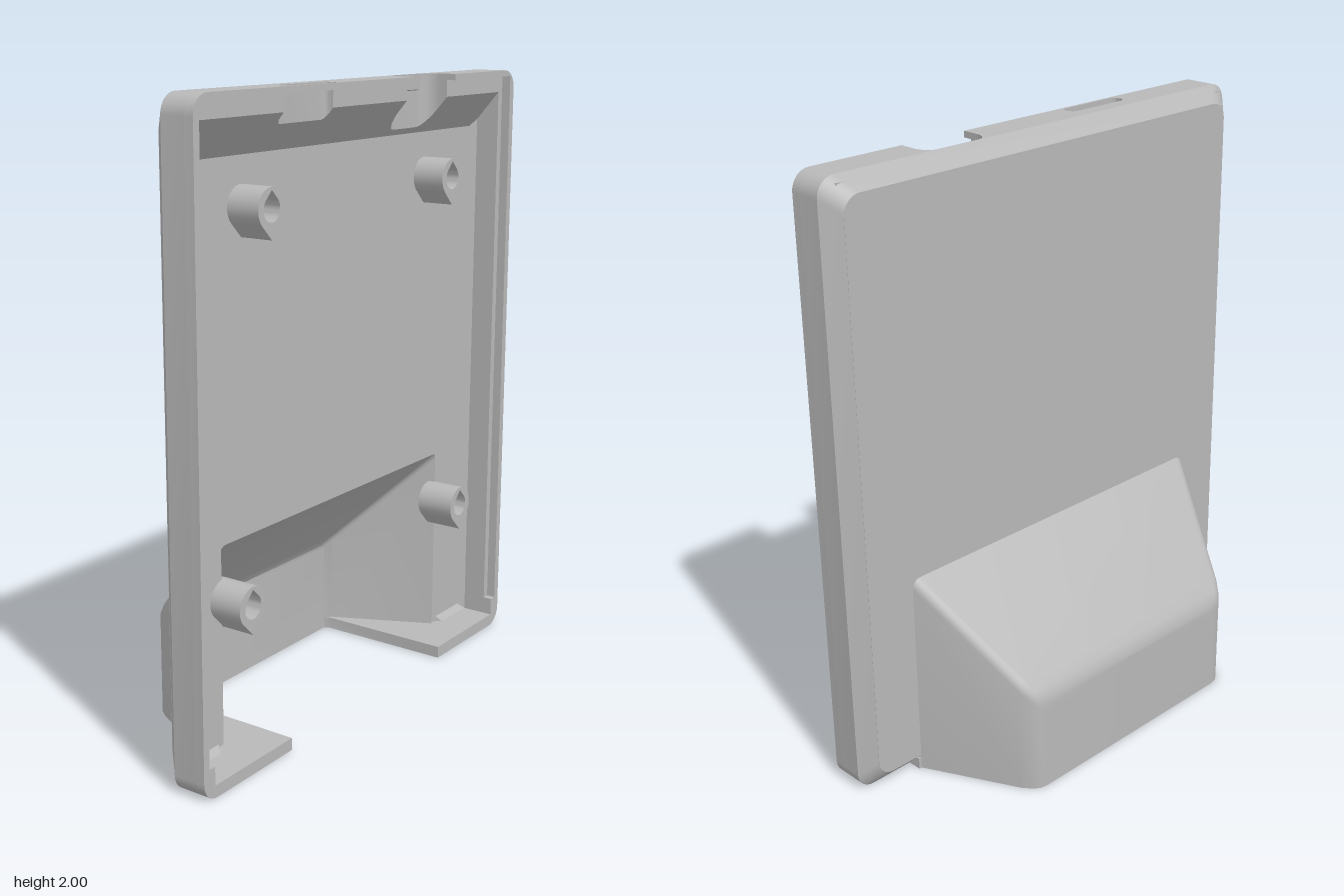
import * as THREE from 'three';
import { toCreasedNormals } from 'three/addons/utils/BufferGeometryUtils.js';

const grey = new THREE.MeshStandardMaterial({ color: 0xb8b8b8 });
grey.name = 'grey plastic';

const shapeOf = (pts) => new THREE.Shape(pts.map(([x, y]) => new THREE.Vector2(x, y)));

// Points on an arc, angles in degrees
function arc(cx, cy, r, a0, a1, n = 8) {
  return Array.from({ length: n + 1 }, (_, i) => {
    const a = THREE.MathUtils.degToRad(a0 + ((a1 - a0) * i) / n);
    return [cx + r * Math.cos(a), cy + r * Math.sin(a)];
  });
}

function roundRect(x0, y0, x1, y1, r) {
  return [
    ...arc(x1 - r, y1 - r, r, 90, 0), ...arc(x1 - r, y0 + r, r, 0, -90),
    ...arc(x0 + r, y0 + r, r, -90, -180), ...arc(x0 + r, y1 - r, r, 180, 90),
  ];
}

// Extrude an xy shape between two z levels
function slabZ(shape, z0, z1) {
  return new THREE.ExtrudeGeometry(shape, { depth: z1 - z0, bevelEnabled: false }).translate(0, 0, z0);
}

// Extrude an xz shape between two heights
function slabY(shape, y0, y1) {
  return new THREE.ExtrudeGeometry(shape, { depth: y1 - y0, bevelEnabled: false })
    .rotateX(Math.PI / 2).translate(0, y1, 0);
}

function moveVertices(geo, rule) {
  const p = geo.attributes.position;
  const v = new THREE.Vector3();
  for (let i = 0; i < p.count; i++) {
    rule(v.fromBufferAttribute(p, i));
    p.setXYZ(i, v.x, v.y, v.z);
  }
  return geo;
}

// Skin through arch-shaped cross-sections [z, half width, height], closed at the last one
function archLoft(sections, r, inward) {
  const rings = sections.map(([z, w, h]) =>
    [[-w, 0], ...arc(-w + r, h - r, r, 180, 90, 4), ...arc(w - r, h - r, r, 90, 0, 4), [w, 0]]
      .map(([x, y]) => [x, y, z]));
  rings.push(rings[rings.length - 1].map(([, y, z]) => [0, y, z]));
  const pos = [];
  for (let i = 0; i < rings.length - 1; i++) {
    for (let j = 0; j < rings[i].length - 1; j++) {
      const [a, b, c, d] = [rings[i][j], rings[i][j + 1], rings[i + 1][j + 1], rings[i + 1][j]];
      pos.push(...(inward ? [a, d, c, a, c, b] : [a, b, c, a, c, d]).flat());
    }
  }
  const geo = new THREE.BufferGeometry();
  geo.setAttribute('position', new THREE.Float32BufferAttribute(pos, 3));
  geo.computeVertexNormals();
  return geo;
}

// Circle with a pointed tip, dir = 1 up or -1 down
function teardrop(cx, cy, r, dir) {
  return [...arc(cx, cy, r, dir * 135, dir * 405, 24), [cx, cy + dir * r * 1.4]];
}

export function createModel() {
  const group = new THREE.Group();
  const add = (name, geo, crease = 0.55) => {
    const mesh = new THREE.Mesh(toCreasedNormals(geo, crease), grey);
    mesh.name = name;
    group.add(mesh);
  };

  // Outer edge of one side, from the top corner down to the floor
  const outerEdge = [...arc(0.79, 1.94, 0.06, 90, 0), ...arc(0.79, 0.06, 0.06, 0, -90)];
  const mirrorX = (pts) => pts.map(([x, y]) => [-x, y]);

  // Side walls with the floor beside the opening, and the stepped front lip
  const wall = [...outerEdge, [0.43, 0], [0.43, 0.04], [0.8, 0.04], [0.8, 1.95], [0.79, 1.95]];
  const lip = [...outerEdge, [0.43, 0], [0.43, 0.04], [0.8, 0.04], [0.8, 0.1],
    [0.825, 0.1], [0.825, 1.98], [0.79, 1.98]];
  for (const [side, flip] of [['left', (p) => p], ['right', mirrorX]]) {
    add(`${side}Wall`, slabZ(shapeOf(flip(wall)), 0.15, 0.23));
    add(`${side}Lip`, slabZ(shapeOf(flip(lip)), 0.23, 0.26));
  }

  // Chamfered back edge, open at the bottom where the hump is
  const half = [...outerEdge, [0.64, 0], [0.64, 0.04], [0.8, 0.04], [0.8, 1.95]];
  const chamfer = slabZ(shapeOf([...half, ...mirrorX(half).reverse()]), 0.1, 0.15);
  moveVertices(chamfer, (v) => {
    if (v.z < 0.12) {
      v.x *= 0.8 / 0.85;
      v.y = 1 + (v.y - 1) * 0.95;
    }
  });
  chamfer.computeVertexNormals();
  add('backChamfer', chamfer);

  // Back wall in two layers, the outer one cut for the recessed panel
  const backHalf = [[0, 1.95], ...arc(0.744, 1.893, 0.057, 90, 0), ...arc(0.744, 0.107, 0.057, 0, -90),
    [0.6, 0.05], [0.6, 0.68]];
  const backOutline = [...backHalf, ...mirrorX(backHalf.slice(1)).reverse()];
  add('backWall', slabZ(shapeOf(backOutline), 0.11, 0.13));
  const backSkin = shapeOf(backOutline);
  backSkin.holes.push(shapeOf(roundRect(-0.75, 0.78, 0.75, 1.9, 0.05)));
  add('backPanelFrame', slabZ(backSkin, 0.1, 0.11));

  // Top wall: sloped underside, side slot and wide rounded port
  const port = (z) => [[0.46, z], ...arc(0.405, 0.202, 0.055, 0, -90), ...arc(0.275, 0.202, 0.055, -90, -180), [0.22, z]];
  const topBlock = shapeOf([[-0.8, 0.13], [0.8, 0.13], [0.8, 0.23], ...port(0.23),
    [-0.18, 0.23], ...arc(-0.2, 0.22, 0.02, 0, -90, 4), ...arc(-0.4, 0.22, 0.02, -90, -180, 4),
    [-0.42, 0.23], [-0.8, 0.23]]);
  const slope = moveVertices(slabY(topBlock, 1.8, 1.98), (v) => {
    if (v.y < 1.9) v.y = 1.81 + (v.z - 0.13) / 0.857;
  });
  slope.computeVertexNormals();
  add('topWallSlope', slope);
  const topSkin = shapeOf([[-0.79, 0.15], [0.275, 0.15], [0.275, 0.148], [0.405, 0.148], [0.405, 0.15],
    [0.79, 0.15], [0.79, 0.26], ...port(0.26), [-0.79, 0.26]].filter(([, z]) => z !== 0.148)
    .filter(([x, z]) => !(z === 0.15 && Math.abs(x) < 0.5))
    .map(([x, z]) => [x, Math.abs(x) < 0.5 ? Math.max(z, 0.152) : z]));
  topSkin.holes.push(shapeOf(roundRect(-0.42, 0.2, -0.18, 0.25, 0.02)));
  add('topWallSkin', slabY(topSkin, 1.98, 2));

  // Hump on the back: outer skin, inner skin and floor around the opening
  const outer = [[0.11, 0.635, 0.71], [-0.21, 0.478, 0.39], [-0.24, 0.455, 0.358],
    [-0.255, 0.435, 0.335], [-0.26, 0.41, 0.31]];
  add('humpOuter', archLoft(outer, 0.03, false));
  add('humpInner', archLoft([[0.13, 0.6, 0.68], [-0.2, 0.44, 0.35], [-0.22, 0.42, 0.32]], 0.02, true));
  const floorHalf = [[0.42, -0.22], [0.43, -0.2], [0.43, 0.15], [0.64, 0.15], [0.64, 0.1], [0.63, 0.1],
    [0.478, -0.21], [0.455, -0.24], [0.435, -0.255], [0.41, -0.26]];
  add('humpFloor', slabY(shapeOf([...floorHalf, ...mirrorX(floorHalf).reverse()]), 0, 0.04));

  // Screw posts
  for (const [x, y] of [[0.49, 1.665], [-0.49, 1.665], [0.59, 0.515], [-0.59, 0.515]]) {
    const post = shapeOf(teardrop(x, y, 0.063, -1));
    post.holes.push(shapeOf(teardrop(x, y, 0.038, 1)));
    add('screwPost', slabZ(post, 0.11, 0.24));
  }
  return group;
}
